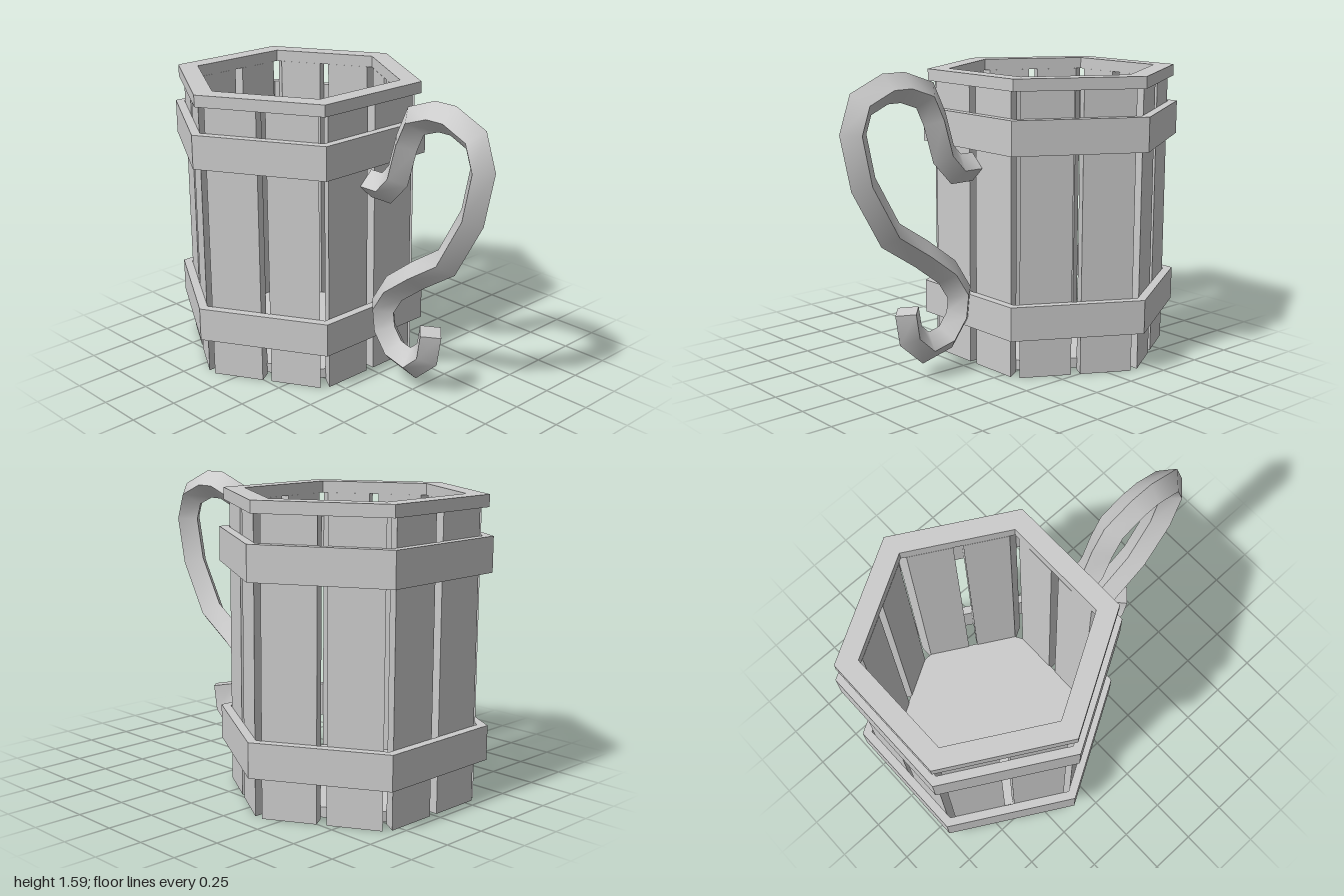
import * as THREE from 'three';
import { toCreasedNormals } from 'three/addons/utils/BufferGeometryUtils.js';

const material = new THREE.MeshStandardMaterial({ color: 0xcccccc, flatShading: true });
const smoothMaterial = new THREE.MeshStandardMaterial({ color: 0xcccccc });

function hexPoints(radius) {
  return Array.from({ length: 6 }, (_, i) => {
    const a = Math.PI / 2 + (i * Math.PI) / 3;
    return new THREE.Vector2(radius * Math.cos(a), radius * Math.sin(a));
  });
}

// Raise a plan outline from y0 to y1
function raise(shape, y0, y1) {
  return new THREE.ExtrudeGeometry(shape, { depth: y1 - y0, bevelEnabled: false })
    .rotateX(-Math.PI / 2)
    .translate(0, y0, 0);
}

function addMesh(parent, name, geometry, mat = material) {
  const mesh = new THREE.Mesh(geometry, mat);
  mesh.name = name;
  parent.add(mesh);
  return mesh;
}

function hexRing(outer, inner, y0, y1) {
  const shape = new THREE.Shape(hexPoints(outer));
  shape.holes.push(new THREE.Path(hexPoints(inner)));
  return raise(shape, y0, y1);
}

// Diamond section swept along a path in the xy plane, with mitred bends
function sweepDiamond(path, half, halfZ) {
  const pts = path.map(([x, y]) => new THREE.Vector2(x, y));
  const positions = [];
  const index = [];
  const last = pts.length - 1;
  pts.forEach((p, i) => {
    const before = pts[Math.max(i, 1)].clone().sub(pts[Math.max(i, 1) - 1]).normalize();
    const next = Math.min(i, last - 1);
    const after = pts[next + 1].clone().sub(pts[next]).normalize();
    const t = before.clone().add(after).normalize();
    const h = half / t.dot(after);
    const nx = -t.y * h, ny = t.x * h;
    positions.push(p.x + nx, p.y + ny, 0, p.x, p.y, halfZ);
    positions.push(p.x - nx, p.y - ny, 0, p.x, p.y, -halfZ);
    if (i === last) return;
    for (let j = 0; j < 4; j++) {
      const a = i * 4 + j, b = i * 4 + ((j + 1) % 4);
      index.push(a, b, b + 4, a, b + 4, a + 4);
    }
  });
  const e = last * 4;
  index.push(0, 2, 1, 0, 3, 2, e, e + 1, e + 2, e, e + 2, e + 3);
  const geometry = new THREE.BufferGeometry();
  geometry.setAttribute('position', new THREE.Float32BufferAttribute(positions, 3));
  geometry.setIndex(index);
  return toCreasedNormals(geometry, 0.9);
}

export function createModel() {
  const model = new THREE.Group();
  model.name = 'tankard';

  const body = new THREE.Group();
  body.name = 'body';
  body.position.x = -0.388;
  model.add(body);

  // Two staves per side, mitred at the corners
  const outer = 0.567, inner = 0.49, gap = 0.025, end = 0.3;
  const innerEnd = end - (outer - inner) * Math.tan(Math.PI / 6);
  for (const s of [1, -1]) {
    const plan = new THREE.Shape([
      new THREE.Vector2(outer, s * gap),
      new THREE.Vector2(outer, s * end),
      new THREE.Vector2(inner, s * innerEnd),
      new THREE.Vector2(inner, s * gap),
    ]);
    const geometry = raise(plan, 0, 1.49);
    for (let i = 0; i < 6; i++) {
      addMesh(body, 'stave', geometry).rotation.y = (i * Math.PI) / 3;
    }
  }

  // Floor with clipped corners
  const floorPoints = hexPoints(1).flatMap((d) =>
    [-0.032, 0.032].map((w) => new THREE.Vector2(d.x * 0.553 - d.y * w, d.y * 0.553 + d.x * w)));
  addMesh(body, 'floor', raise(new THREE.Shape(floorPoints), 0.012, 0.065));

  // Hoops and rim
  addMesh(body, 'lowerBand', hexRing(0.707, 0.655, 0.215, 0.395));
  addMesh(body, 'upperBand', hexRing(0.707, 0.655, 1.17, 1.35));
  addMesh(body, 'rim', hexRing(0.682, 0.567, 1.49, 1.552));

  // Curled handle
  const handlePath = [
    [0.18, 1.07], [0.29, 1.07], [0.37, 1.155], [0.425, 1.34], [0.485, 1.465],
    [0.62, 1.513], [0.725, 1.513], [0.87, 1.45], [0.918, 1.31], [0.865, 1.06],
    [0.71, 0.785], [0.52, 0.66], [0.355, 0.535], [0.275, 0.41], [0.29, 0.29],
    [0.37, 0.185], [0.5, 0.155], [0.595, 0.24], [0.617, 0.375],
  ];
  addMesh(model, 'handle', sweepDiamond(handlePath, 0.075, 0.078), smoothMaterial);

  return model;
}
